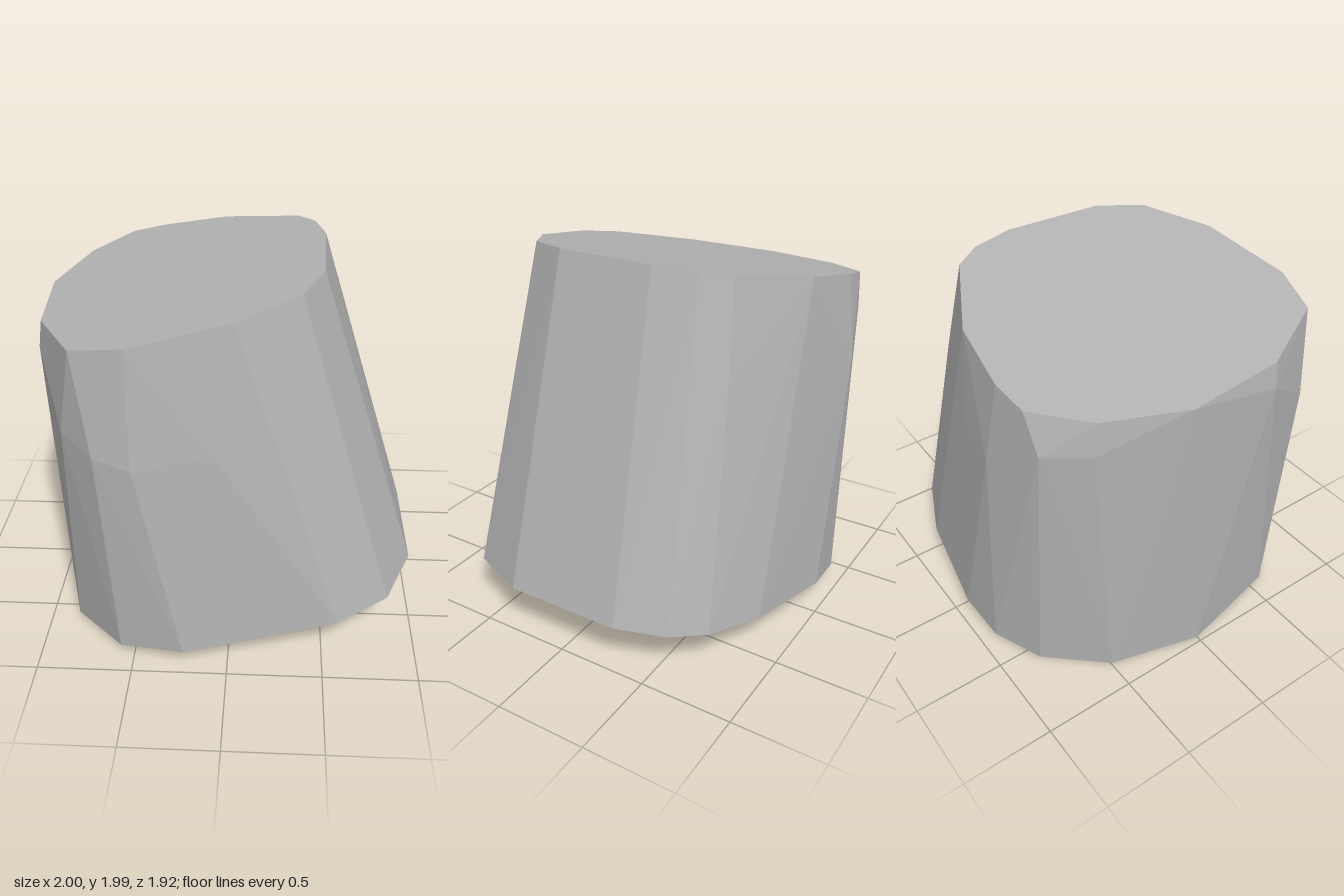
import * as THREE from 'three';
import { ConvexGeometry } from 'three/addons/geometries/ConvexGeometry.js';

// Outlines of the two slanted end faces as [x, z]
const topOutline = [
  [-1, -0.18], [-0.86, -0.61], [-0.65, -0.85], [-0.46, -0.87], [-0.09, -0.82],
  [0.33, -0.6], [0.42, -0.46], [0.47, -0.23], [0.45, 0.32], [0.34, 0.56],
  [0.03, 0.77], [-0.46, 0.86], [-0.73, 0.78], [-0.95, 0.36],
];
const bottomOutline = [
  [-0.97, 0], [-0.85, -0.5], [-0.61, -0.81], [-0.36, -0.94], [-0.09, -0.96],
  [0.45, -0.87], [0.75, -0.74], [0.9, -0.59], [1, -0.33], [1, 0.31],
  [0.85, 0.65], [0.58, 0.82], [-0.23, 0.96], [-0.57, 0.87], [-0.85, 0.58],
];
// Shallow corners where the side facets break, as [x, y, z]
const sideCorners = [
  [-0.07, 1.26, 0.87], [-0.45, 1.19, 0.92], [-0.64, 1.24, 0.88],
  [-0.81, 1.29, 0.73], [-0.97, 1.57, 0.36],
  [-0.87, 1.55, -0.63], [-0.73, 1.55, -0.83], [-0.42, 1.36, -0.93],
  [-0.09, 1.36, -0.87], [0.45, 1.45, -0.65],
];

export function createModel() {
  const group = new THREE.Group();
  group.name = 'leaningStump';

  const points = [
    ...topOutline.map(([x, z]) => new THREE.Vector3(x, 1.7 + 0.194 * (x + 1), z)),
    ...bottomOutline.map(([x, z]) => new THREE.Vector3(x, 0.138 * (x + 0.97), z)),
    ...sideCorners.map((p) => new THREE.Vector3(...p)),
  ];

  // Faceted solid with flat slanted ends
  const stoneGrey = new THREE.MeshStandardMaterial({ color: 0xb3b3b3 });
  stoneGrey.name = 'stoneGrey';
  const body = new THREE.Mesh(new ConvexGeometry(points), stoneGrey);
  body.name = 'facetedBody';
  group.add(body);

  return group;
}
